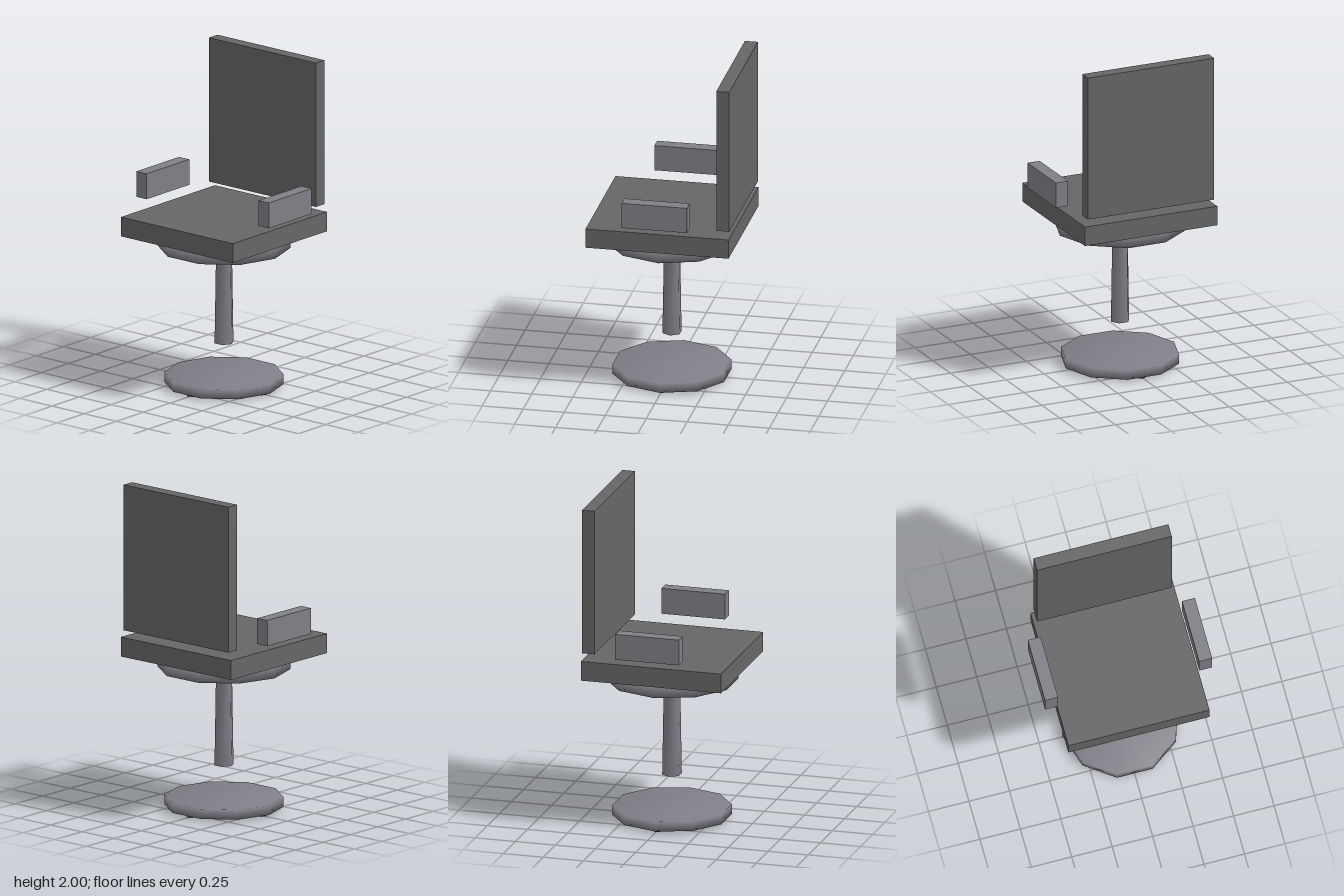
import * as THREE from 'three';
import { mergeVertices } from 'three/addons/utils/BufferGeometryUtils.js';

export function createModel() {
  const chair = new THREE.Group();
  chair.name = 'chair';
  const cushion = new THREE.MeshStandardMaterial({ color: 0x666666 });
  const frame = new THREE.MeshStandardMaterial({ color: 0x807f87 });

  const add = (name, geometry, material, x, y, z) => {
    const mesh = new THREE.Mesh(geometry, material);
    mesh.name = name;
    mesh.position.set(x, y, z);
    chair.add(mesh);
  };

  // Low-sided cylinder with a corner on +x, smoothed across its rims
  const disc = (rTop, rBottom, height, sides) => {
    let g = new THREE.CylinderGeometry(rTop, rBottom, height, sides).rotateY(Math.PI / 2);
    g.deleteAttribute('uv');
    g.deleteAttribute('normal');
    g = mergeVertices(g, 1e-4);
    g.computeVertexNormals();
    return g;
  };

  // Cushions
  add('seat', new THREE.BoxGeometry(0.872, 0.12, 0.872), cushion, 0, 1.0, 0);
  add('backrest', new THREE.BoxGeometry(0.832, 0.895, 0.079), cushion, 0, 1.5525, -0.3965);

  // Floating armrests
  for (const side of [-1, 1]) {
    add(side > 0 ? 'leftArmrest' : 'rightArmrest',
      new THREE.BoxGeometry(0.08, 0.158, 0.397), frame, side * 0.476, 1.196, 0);
  }

  // Support plate, tapered column and base
  add('seatPlate', disc(0.397, 0.397, 0.08, 10), frame, 0, 0.9, 0);
  add('column', disc(0.05, 0.06, 0.595, 6), frame, 0, 0.5625, 0);
  add('base', disc(0.357, 0.357, 0.06, 10), frame, 0, 0.043, 0);

  // Four small feet under the base
  for (let i = 0; i < 4; i++) {
    const a = (i * Math.PI) / 2;
    add('foot', disc(0.03, 0.03, 0.014, 6), frame, 0.298 * Math.cos(a), 0.007, 0.298 * Math.sin(a));
  }

  return chair;
}
